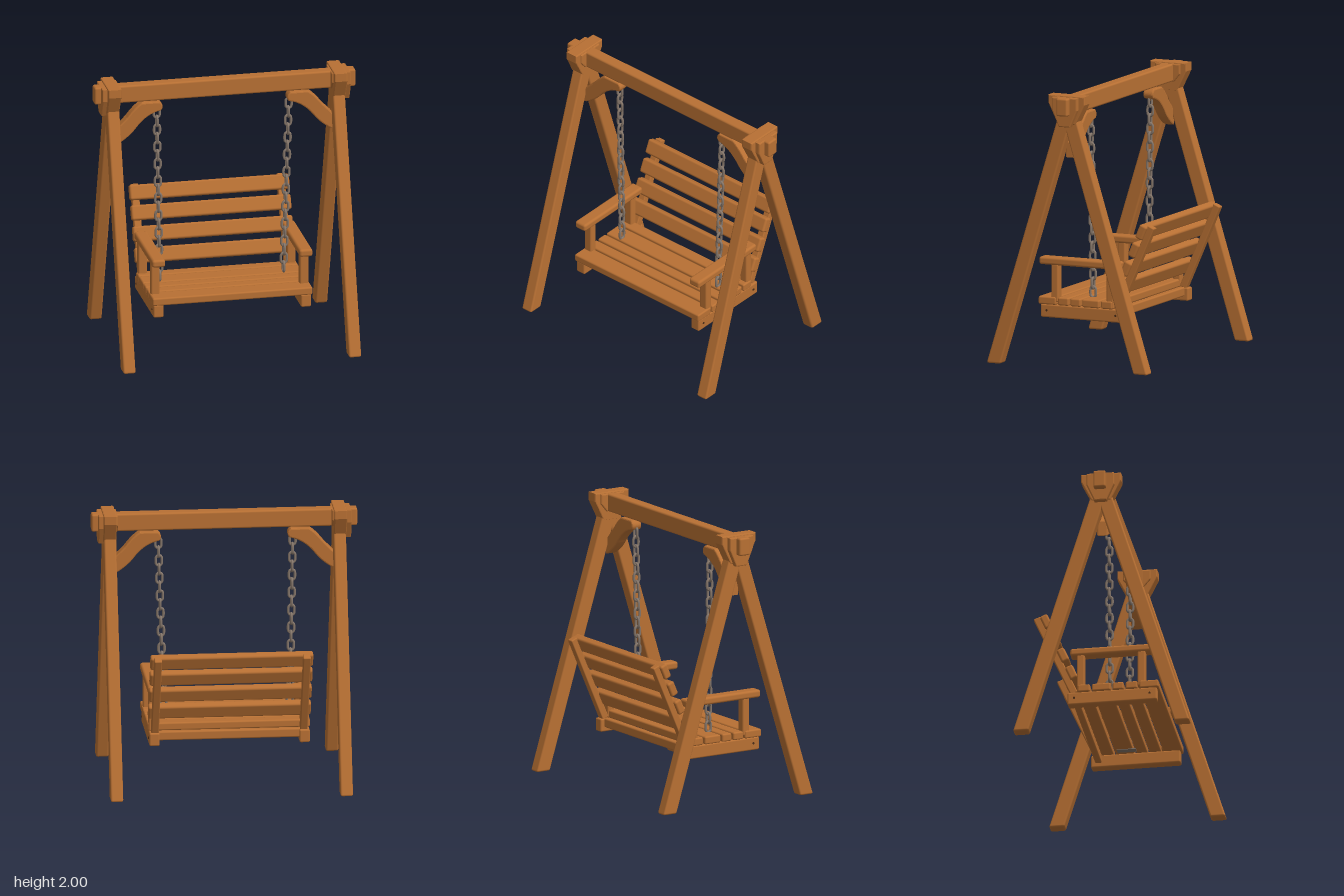
import * as THREE from 'three';
import { RoundedBoxGeometry } from 'three/addons/geometries/RoundedBoxGeometry.js';

const material = (name, color) => {
  const m = new THREE.MeshStandardMaterial({ color });
  m.name = name;
  return m;
};

export function createModel() {
  const wood = material('wood', 0xb87033);
  const steel = material('chain steel', 0x85766a);
  const dark = material('screw', 0x4a2c16);
  const model = new THREE.Group();
  model.name = 'gardenSwing';

  const add = (parent, name, geometry, mat = wood) => {
    const mesh = new THREE.Mesh(geometry, mat);
    mesh.name = name;
    parent.add(mesh);
    return mesh;
  };
  // Rounded timber given by its limits on each axis
  const timber = (parent, name, [x0, x1], [y0, y1], [z0, z1], r = 0.012) => {
    const g = new RoundedBoxGeometry(x1 - x0, y1 - y0, z1 - z0, 2, r);
    g.translate((x0 + x1) / 2, (y0 + y1) / 2, (z0 + z1) / 2);
    return add(parent, name, g);
  };
  const group = (name) => {
    const g = new THREE.Group();
    g.name = name;
    model.add(g);
    return g;
  };

  // Frame: top beam
  const frame = group('frame');
  timber(frame, 'topBeam', [-0.96, 0.96], [1.86, 1.99], [-0.045, 0.045], 0.014);

  // Block with a tapered profile in z and y, centred at x
  const gusset = (x, width, top, low, y0, y1, y2) => {
    const b = 0.008;
    const s = new THREE.Shape([[-top, y2], [-top, y1], [-low, y0], [low, y0], [top, y1], [top, y2]]
      .map(([z, y]) => new THREE.Vector2(z, y)));
    const g = new THREE.ExtrudeGeometry(s, {
      depth: width - 2 * b, bevelThickness: b, bevelSize: b, bevelOffset: -b, bevelSegments: 2 });
    g.translate(0, 0, b - width / 2).rotateY(Math.PI / 2).translate(x, 0, 0);
    add(frame, 'jointBlock', g);
  };

  for (const side of [-1, 1]) {
    // Splayed legs with level feet
    for (const end of [-1, 1]) {
      const leg = new RoundedBoxGeometry(0.09, 1.89, 0.112, 2, 0.014);
      leg.translate(0, 0.945, 0);
      leg.applyMatrix4(new THREE.Matrix4().set(
        1, 0, 0, side * 0.83,
        0, 1, 0, 0.005,
        0, -0.311 * end, 1, end * 0.588,
        0, 0, 0, 1));
      add(frame, 'leg', leg);
    }
    // Joint of legs and beam
    gusset(side * 0.832, 0.095, 0.145, 0.07, 1.79, 1.94, 2.0);
    gusset(side * 0.89, 0.05, 0.1, 0.045, 1.775, 1.9, 1.99);
    gusset(side * 0.785, 0.025, 0.1, 0.05, 1.86, 1.92, 1.99);

    // Curved brace under the beam
    const s = new THREE.Shape();
    s.moveTo(-0.81, 1.54);
    s.lineTo(-0.78, 1.55);
    s.quadraticCurveTo(-0.71, 1.59, -0.66, 1.65);
    s.quadraticCurveTo(-0.58, 1.76, -0.47, 1.78);
    s.quadraticCurveTo(-0.44, 1.815, -0.48, 1.848);
    s.lineTo(-0.61, 1.848);
    s.quadraticCurveTo(-0.66, 1.82, -0.72, 1.74);
    s.lineTo(-0.81, 1.65);
    s.closePath();
    const brace = new THREE.ExtrudeGeometry(s, {
      depth: 0.06, bevelThickness: 0.01, bevelSize: 0.01, bevelOffset: -0.01, bevelSegments: 2 });
    brace.translate(0, 0, -0.03);
    if (side > 0) brace.rotateY(Math.PI);
    add(frame, 'brace', brace);
  }

  // Chains of alternating oval links
  const path = [];
  for (let i = 0; i < 16; i++) {
    const a = (i / 16) * Math.PI * 2;
    path.push(new THREE.Vector3(0.022 * Math.cos(a), 0.026 * Math.sin(a) + 0.013 * Math.sign(Math.round(Math.sin(a) * 100)), 0));
  }
  const link = new THREE.TubeGeometry(new THREE.CatmullRomCurve3(path, true), 32, 0.0095, 8, true);
  const links = 20;
  for (const [xTop, xLow] of [[-0.495, -0.475], [0.475, 0.438]]) {
    const chain = group('chain');
    for (let i = 0; i < links; i++) {
      const t = i / (links - 1);
      const m = add(chain, 'chainLink', link, steel);
      m.position.set(xTop + (xLow - xTop) * t, 1.755 - 1.25 * t, 0);
      m.rotation.y = (i % 2) * Math.PI / 2;
    }
    // Anchor plate beneath the slats
    const plate = add(chain, 'anchorPlate', new THREE.BoxGeometry(0.05, 0.008, 0.14), steel);
    plate.position.set(xLow, 0.41, -0.02);
  }

  // Bench, hung slightly to one side
  const bench = group('bench');
  const mid = -0.015;
  const across = [mid - 0.588, mid + 0.588];
  for (const [z1, z0] of [[0.375, 0.235], [0.22, 0.135], [0.12, 0.04], [0.025, -0.11], [-0.125, -0.215]])
    timber(bench, 'seatSlat', across, [0.41, 0.468], [z0, z1]);
  timber(bench, 'seatCrossRail', [mid - 0.53, mid + 0.53], [0.348, 0.415], [-0.26, -0.21]);

  const back = new THREE.Group();
  back.name = 'backrest';
  back.position.set(0, 0.43, -0.25);
  back.rotation.x = -0.415;
  bench.add(back);

  for (const side of [-1, 1]) {
    const span = (a, b) => side < 0 ? [mid - b, mid - a] : [mid + a, mid + b];
    timber(bench, 'seatRail', span(0.505, 0.58), [0.315, 0.412], [-0.29, 0.362]);
    timber(bench, 'frontArmPost', span(0.515, 0.58), [0.43, 0.71], [0.22, 0.278]);
    timber(bench, 'rearArmPost', span(0.515, 0.58), [0.41, 0.71], [-0.222, -0.165]);
    timber(bench, 'armrest', span(0.493, 0.59), [0.7, 0.757], [-0.27, 0.37], 0.018);
    timber(back, 'backPost', span(0.51, 0.565), [-0.02, 0.655], [-0.028, 0.026], 0.008);
    // Screw heads on the rails
    for (const z of [0.31, -0.24]) {
      const screw = add(bench, 'screw', new THREE.CylinderGeometry(0.008, 0.008, 0.006, 10), dark);
      screw.rotation.z = Math.PI / 2;
      screw.position.set(mid + side * 0.581, 0.367, z);
    }
  }
  // Backrest slats
  for (const y of [0.135, 0.29, 0.443, 0.59])
    timber(back, 'backSlat', across, [y - 0.055, y + 0.055], [0.018, 0.078], 0.016);

  return model;
}
